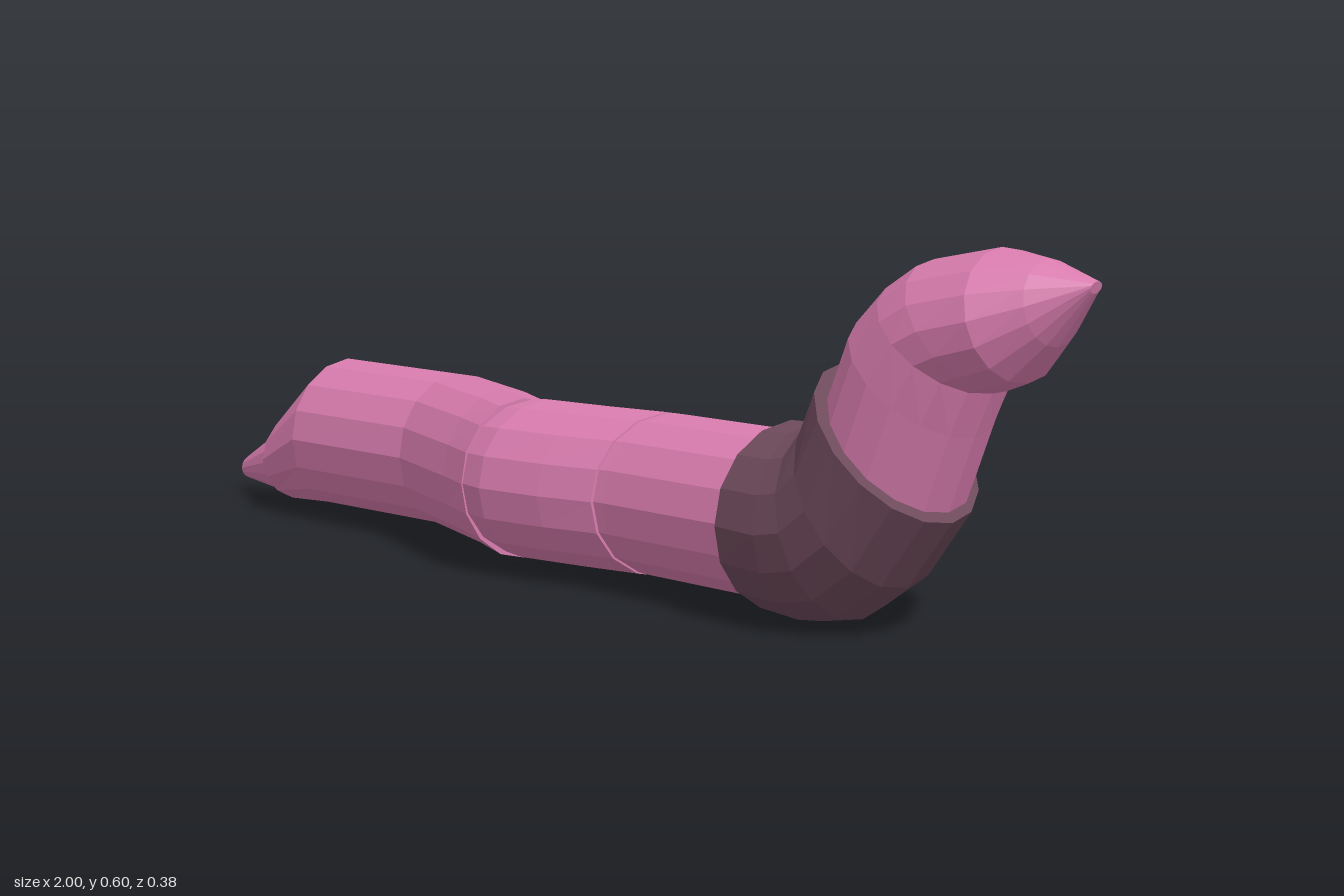
import * as THREE from 'three';

const SIDES = 16;

// Elliptical ring from a centre and two half axes (v = up, u = front)
function ring([cx, cy, cz], [vx, vy, vz], [ux, uy, uz]) {
  const pts = [];
  for (let j = 0; j < SIDES; j++) {
    const a = (j / SIDES) * Math.PI * 2, c = Math.cos(a), s = Math.sin(a);
    pts.push([cx + vx * c + ux * s, cy + vy * c + uy * s, cz + vz * c + uz * s]);
  }
  return { c: [cx, cy, cz], pts };
}

// Section lying across the body: back point, front point, bottom and top height
const across = ([xb, zb, xf, zf, y0, y1]) =>
  ring([(xb + xf) / 2, (y0 + y1) / 2, (zb + zf) / 2], [0, (y1 - y0) / 2, 0], [(xf - xb) / 2, 0, (zf - zb) / 2]);

// Section leaning in the upright bend: top point, bottom point, back and front depth
const leaning = ([xt, yt, xb, yb, zb, zf]) =>
  ring([(xt + xb) / 2, (yt + yb) / 2, (zb + zf) / 2], [(xt - xb) / 2, (yt - yb) / 2, 0], [0, 0, (zf - zb) / 2]);

// Skin the rings and close both ends
function loft(name, rings, color) {
  const pos = [], idx = [], n = rings.length;
  rings.forEach(r => r.pts.forEach(p => pos.push(...p)));
  pos.push(...rings[0].c, ...rings[n - 1].c);
  for (let j = 0; j < SIDES; j++) {
    const k = (j + 1) % SIDES;
    for (let i = 0; i < n - 1; i++) {
      const a = i * SIDES + j, b = i * SIDES + k, c = a + SIDES, d = b + SIDES;
      idx.push(a, b, c, b, d, c);
    }
    const e = (n - 1) * SIDES;
    idx.push(n * SIDES, k, j, n * SIDES + 1, e + j, e + k);
  }
  const geo = new THREE.BufferGeometry();
  geo.setAttribute('position', new THREE.Float32BufferAttribute(pos, 3));
  geo.setIndex(idx);
  geo.computeVertexNormals();
  const mesh = new THREE.Mesh(geo, new THREE.MeshStandardMaterial({ color, flatShading: true }));
  mesh.name = name;
  return mesh;
}

export function createModel() {
  const group = new THREE.Group();
  group.name = 'worm';
  const pink = 0xd87cae, dark = 0x6e4a5b;

  // Tapered tail and rear body, ending in a fold
  group.add(loft('rearBody', [
    [-1, -0.08, -1, -0.035, 0.032, 0.075],
    [-0.88, -0.118, -0.88, 0, 0.02, 0.145],
    [-0.82, -0.172, -0.82, 0.055, 0.013, 0.19],
    [-0.7, -0.193, -0.7, 0.08, 0.018, 0.295],
    [-0.4, -0.193, -0.4, 0.08, 0.02, 0.295],
    [-0.2, -0.12, -0.21, 0.148, 0.02, 0.294],
    [-0.06, -0.045, -0.13, 0.18, 0.02, 0.294],
  ].map(across), pink));

  // Middle body
  group.add(loft('middleBody', [
    [-0.06, -0.07, -0.14, 0.176, 0.025, 0.29],
    [-0.035, -0.088, -0.08, 0.187, 0.02, 0.294],
    [0.1, -0.112, 0.04, 0.17, 0.02, 0.293],
    [0.22, -0.126, 0.14, 0.146, 0.02, 0.293],
  ].map(across), pink));

  // Fore body, running on into the band
  group.add(loft('foreBody', [
    [0.2, -0.119, 0.13, 0.142, 0.024, 0.29],
    [0.23, -0.124, 0.16, 0.141, 0.021, 0.293],
    [0.5, -0.124, 0.47, 0.143, 0.02, 0.293],
    [0.56, -0.11, 0.54, 0.13, 0.03, 0.29],
  ].map(across), pink));

  // Dark band around the bend
  group.add(loft('band', [
    across([0.475, -0.13, 0.425, 0.166, 0.008, 0.31]),
    ...[
      [0.495, 0.312, 0.52, 0.002, -0.132, 0.172],
      [0.515, 0.316, 0.60, 0.018, -0.132, 0.172],
      [0.53, 0.335, 0.685, 0.08, -0.131, 0.172],
      [0.555, 0.41, 0.766, 0.19, -0.129, 0.17],
    ].map(leaning),
  ], dark));

  // Raised head with pointed snout and a crease under the chin
  group.add(loft('head', [
    [0.545, 0.34, 0.67, 0.15, -0.1, 0.13],
    [0.57, 0.395, 0.752, 0.2, -0.122, 0.148],
    [0.607, 0.485, 0.797, 0.32, -0.122, 0.148],
    [0.66, 0.54, 0.825, 0.388, -0.122, 0.143],
    [0.715, 0.577, 0.85, 0.394, -0.122, 0.14],
    [0.835, 0.602, 0.885, 0.408, -0.112, 0.127],
    [0.915, 0.59, 0.935, 0.465, -0.065, 0.08],
    [0.995, 0.563, 0.99, 0.545, -0.012, 0.016],
  ].map(leaning), pink));

  return group;
}
